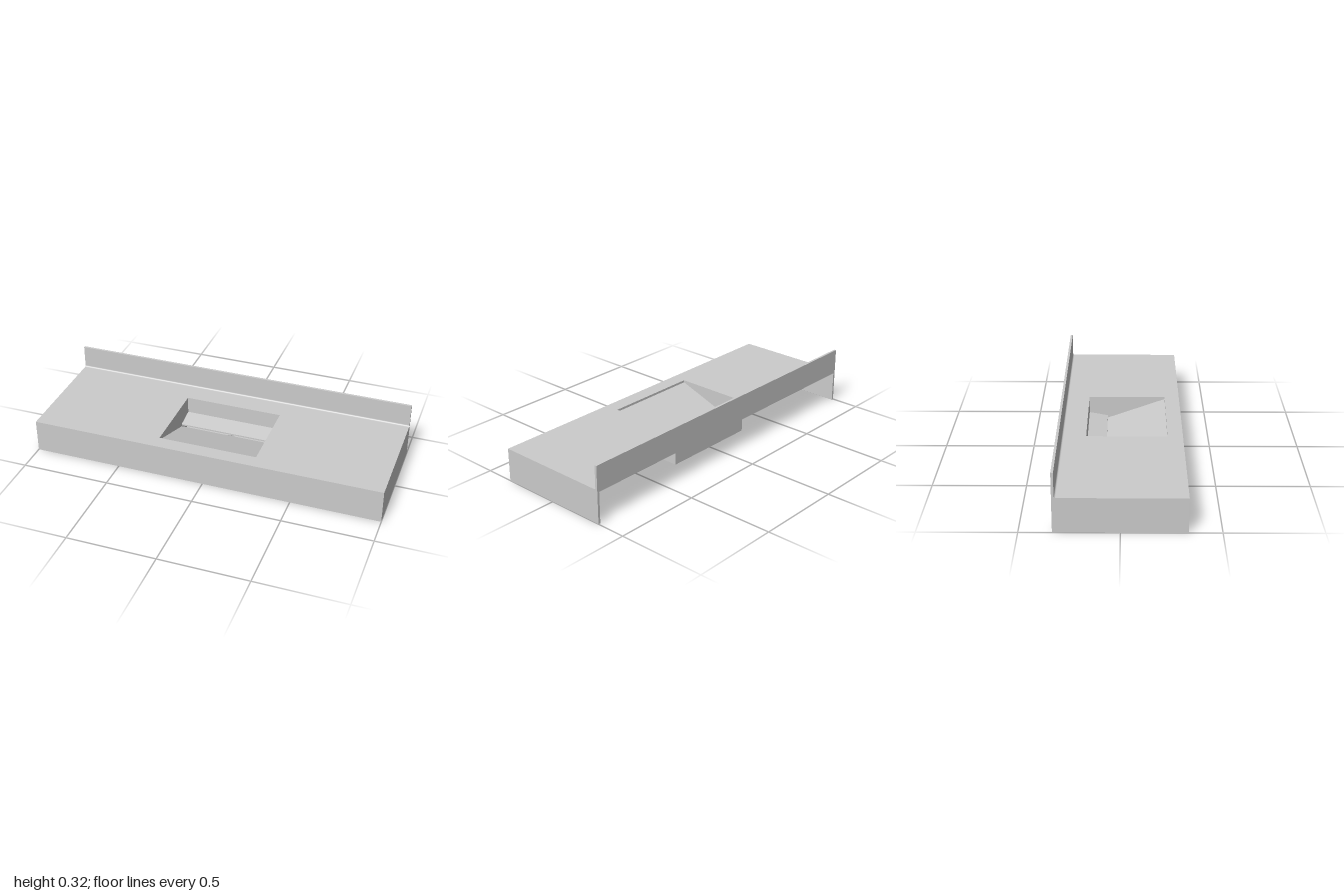
import * as THREE from 'three';

const W = 2, D = 0.667, TOP = 0.189, T = 0.013;   // overall width, depth, counter height, sheet thickness
const HX = 0.28, ZB = -0.19, ZF = 0.25, ZL = -0.083; // basin half width, back, front, trough front
const WALL = 0.004;

export function createModel() {
  const group = new THREE.Group();
  group.name = 'basinCounter';
  const material = new THREE.MeshStandardMaterial({ color: 0xcccccc, side: THREE.DoubleSide });

  const add = (name, geometry, x = 0, y = 0, z = 0) => {
    const mesh = new THREE.Mesh(geometry, material);
    mesh.name = name;
    mesh.position.set(x, y, z);
    group.add(mesh);
    return mesh;
  };
  const box = (name, w, h, d, x, y, z) => add(name, new THREE.BoxGeometry(w, h, d), x, y, z);

  // Extrudes a side profile, given as [z, y], along x and centres it
  const alongX = (shape, width) => new THREE.ExtrudeGeometry(shape, { depth: width, bevelEnabled: false, curveSegments: 6 })
    .translate(0, 0, -width / 2).rotateY(-Math.PI / 2);
  const polygon = (points) => new THREE.Shape(points.map(([z, y]) => new THREE.Vector2(z, y)));

  // Lays a flat plan, given as x and -z, down with its thickness upward
  const plate = (shape, thickness) => new THREE.ExtrudeGeometry(shape, { depth: thickness, bevelEnabled: false, curveSegments: 24 })
    .rotateX(-Math.PI / 2);
  const rect = (Type, x0, x1, z0, z1) => {
    const r = new Type();
    r.moveTo(x0, -z1);
    r.lineTo(x1, -z1);
    r.lineTo(x1, -z0);
    r.lineTo(x0, -z0);
    r.closePath();
    return r;
  };

  // Counter top with the basin opening
  const back = -D / 2, front = D / 2, splash = back + T;
  const counter = rect(THREE.Shape, -W / 2, W / 2, splash, front);
  counter.holes.push(rect(THREE.Path, -HX, HX, ZB, ZF));
  add('counterTop', plate(counter, T), 0, TOP - T, 0);

  // Upstand at the back with a small cove where it meets the counter
  const cove = 0.009;
  const upstand = new THREE.Shape();
  upstand.moveTo(back, TOP - T);
  upstand.lineTo(splash, TOP - T);
  upstand.lineTo(splash, TOP);
  upstand.lineTo(splash + cove, TOP);
  upstand.absarc(splash + cove, TOP + cove, cove, -Math.PI / 2, -Math.PI, true);
  upstand.lineTo(splash, 0.323);
  upstand.lineTo(back, 0.323);
  upstand.closePath();
  add('backUpstand', alongX(upstand, W));

  // Front and side aprons, open at the back and below
  const skirt = TOP - T;
  box('frontApron', W, skirt, T, 0, skirt / 2, front - T / 2);
  for (const s of [-1, 1]) {
    box(s > 0 ? 'leftApron' : 'rightApron', T, skirt, D - T, s * (W / 2 - T / 2), skirt / 2, -T / 2);
  }

  // Basin side walls
  const cheek = polygon([[ZB, 0], [ZL, 0], [ZL, 0.045], [ZF, 0.168], [ZF, skirt], [ZB, skirt]]);
  for (const s of [-1, 1]) {
    add(s > 0 ? 'basinLeftWall' : 'basinRightWall', alongX(cheek, WALL), s * (HX + WALL / 2));
  }

  // Sloping basin floor
  add('basinRamp', alongX(polygon([[ZL, 0.045], [ZF, 0.168], [ZF, skirt], [ZL, 0.057]]), 2 * HX));

  // Drain trough under the slot
  box('troughBackWall', 2 * (HX + WALL), skirt, WALL, 0, skirt / 2, ZB - WALL / 2);
  box('troughFrontWall', 2 * HX, 0.05, WALL, 0, 0.025, ZL - WALL / 2);
  const floor = rect(THREE.Shape, -HX, HX, ZB, ZL);
  const drain = new THREE.Path();
  drain.absarc(0, -(ZB + ZL) / 2, 0.03, 0, Math.PI * 2, true);
  floor.holes.push(drain);
  add('troughFloor', plate(floor, WALL));

  // Tilted cover that leaves a narrow slot above the ramp's end
  add('troughCover', alongX(polygon([[ZB, 0.082], [ZL, 0.064], [ZL, 0.072], [ZB, 0.092]]), 2 * HX));

  return group;
}
